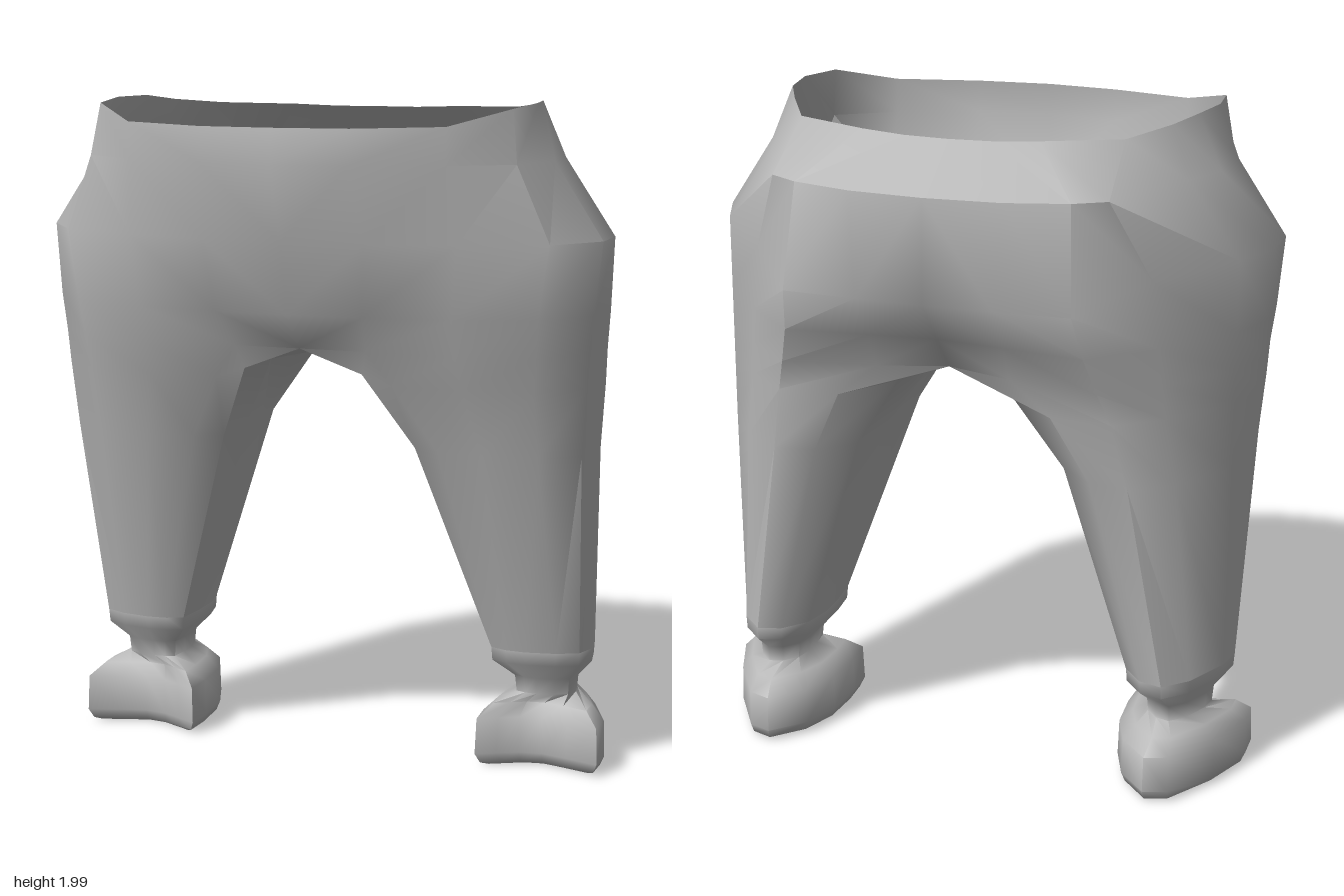
import * as THREE from 'three';
import { toCreasedNormals } from 'three/addons/utils/BufferGeometryUtils.js';

// A ring runs from the front, round the outer side, to the back: [x, z] or [x, z, own height]
const ring = (y, pts) => pts.map(([x, z, h = y]) => new THREE.Vector3(x, h, z));

// Same outline scaled about a centre, at a new height
const scaled = (pts, y, s, cx, cz) =>
  pts.map((p) => new THREE.Vector3(cx + (p.x - cx) * s, y, cz + (p.z - cz) * s));

// Waist and hips: open half rings, front centre to back centre
const hips = [
  ring(1.94, [[0, .57], [.22, .55], [.47, .47, 1.945], [.62, .33, 1.99], [.645, .15, 2], [.62, 0, 2],
    [.57, -.1, 1.985], [.48, -.26, 1.97], [.26, -.34, 1.965], [.13, -.36, 1.96], [0, -.37, 1.96]]),
  ring(1.84, [[0, .58], [.22, .555], [.47, .47], [.64, .36], [.7, .17], [.69, 0],
    [.63, -.14], [.49, -.45], [.4, -.505], [.22, -.555], [0, -.57]]),
  ring(1.62, [[0, .5], [.24, .49], [.49, .43], [.73, .335], [.845, .18], [.845, .03],
    [.78, -.13], [.59, -.35, 1.6], [.42, -.56, 1.54], [.2, -.57, 1.54], [0, -.575, 1.54]]),
  ring(1.41, [[0, .45], [.22, .44], [.47, .41], [.7, .335], [.825, .19], [.837, .03],
    [.78, -.13], [.61, -.35], [.44, -.51], [.2, -.48], [0, -.46]]),
];

// Legs: closed rings, the last two points lie on the inner side
const legs = [
  ring(1.3, [[0, .345], [.2, .345], [.47, .37], [.69, .315], [.81, .19], [.83, .03], [.78, -.13],
    [.62, -.34], [.47, -.47], [.2, -.42], [0, -.36], [0, -.15, 1.27], [0, .15, 1.27]]),
  ring(1.2, [[.18, .32, 1.23], [.27, .32], [.48, .33], [.68, .295], [.805, .18], [.827, .03], [.78, -.13],
    [.63, -.33], [.5, -.43], [.32, -.42], [.17, -.33, 1.23], [.17, -.13, 1.23], [.17, .13, 1.23]]),
  ring(1.0, [[.3, .19], [.38, .23], [.52, .255], [.68, .235], [.79, .16], [.815, .03], [.78, -.13],
    [.66, -.31], [.54, -.39], [.42, -.37], [.32, -.28], [.295, -.12], [.29, .04]]),
  ring(0.38, [[.5, .05], [.55, .07], [.61, .075], [.7, .06], [.765, .03], [.79, -.04], [.775, -.13],
    [.71, -.27], [.64, -.34], [.57, -.32], [.51, -.25], [.49, -.16], [.49, -.05]]),
];
const cuff = legs[3];

// Foot: two front corners with a hollow between them, narrowing to a rounded back
const sole = ring(0.05, [[.46, .08], [.52, .05], [.58, .02], [.65, .01], [.73, .03], [.83, .06], [.833, -.03],
  [.77, -.19], [.67, -.35], [.6, -.375], [.51, -.28], [.465, -.16], [.455, -.02]]);
const foot = [
  cuff,
  scaled(cuff, 0.34, 0.98, 0.64, -0.135),
  scaled(cuff, 0.28, 0.62, 0.65, -0.125),
  scaled(cuff, 0.23, 0.59, 0.65, -0.125),
  scaled(sole, 0.2, 0.76, 0.645, -0.13),
  scaled(sole, 0.16, 0.98, 0.645, -0.13),
  sole,
  scaled(sole, 0.02, 0.93, 0.645, -0.14),
  scaled(sole, 0.01, 0.82, 0.645, -0.14),
  scaled(sole, 0.01, 0, 0.645, -0.14),
];

// Joins neighbouring rings with quads, on the given side (+1 left, -1 right)
function loft(out, rings, closed, side) {
  const add = (...tri) => {
    if (side < 0) tri.reverse();
    for (const p of tri) out.push(p.x * side, p.y, p.z);
  };
  for (let r = 0; r + 1 < rings.length; r++) {
    const top = rings[r], low = rings[r + 1];
    const n = closed ? top.length : top.length - 1;
    for (let c = 0; c < n; c++) {
      const d = (c + 1) % top.length;
      add(top[c], low[c], top[d]);
      if (low[c].distanceTo(low[d]) > 1e-6) add(top[d], low[c], low[d]);
    }
  }
}

function shell(name, positions, crease, material) {
  const geo = new THREE.BufferGeometry();
  geo.setAttribute('position', new THREE.Float32BufferAttribute(positions, 3));
  const mesh = new THREE.Mesh(toCreasedNormals(geo, crease), material);
  mesh.name = name;
  return mesh;
}

export function createModel() {
  const group = new THREE.Group();
  group.name = 'legs';
  const grey = new THREE.MeshStandardMaterial({ color: 0xb8b8b8, side: THREE.DoubleSide });
  grey.name = 'plain grey';

  // Hollow hips and both legs in one skin, so the centre stays smooth
  const skin = [];
  for (const side of [1, -1]) {
    loft(skin, [...hips, legs[0].slice(0, 11)], false, side);
    loft(skin, legs, true, side);
  }
  group.add(shell('hipsAndLegs', skin, 0.85, grey));

  // Ankles and feet
  for (const side of [1, -1]) {
    const points = [];
    loft(points, foot, true, side);
    group.add(shell(side > 0 ? 'leftFoot' : 'rightFoot', points, 1.2, grey));
  }
  return group;
}
